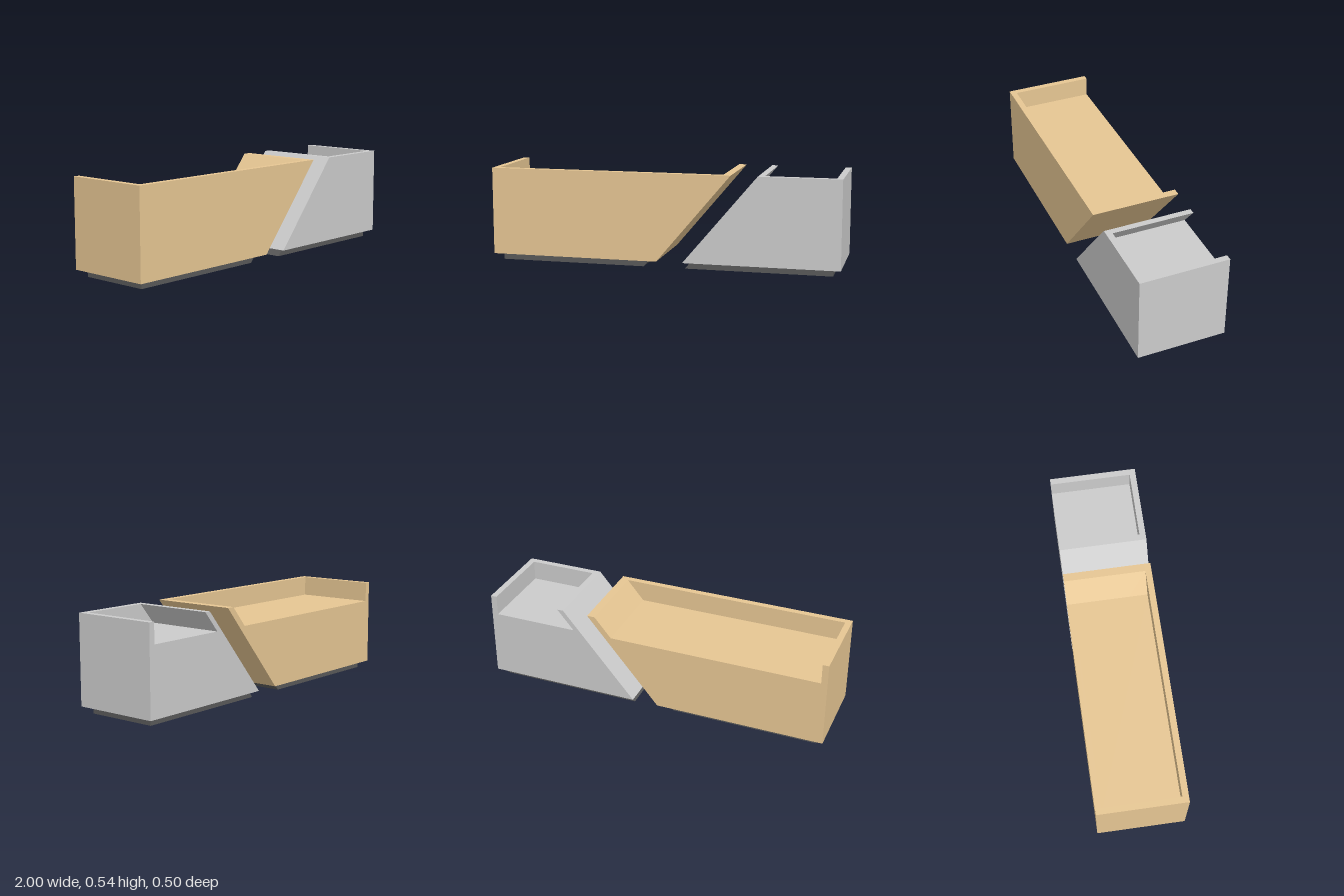
import * as THREE from 'three';

const Y0 = 0.04, TOP = 0.54, DECK = 0.425, T = 0.035, Z = 0.25, RUN = 0.84;

// An end line of the desk: upright, or leaning towards +x as it rises
const upright = (x) => () => x;
const leaning = (x, dx = 0) => (y) => x + dx + RUN * (y - Y0);

// Four-sided panel between two end lines, extruded along z
function panel(name, left, right, y0, y1, z0, z1, material) {
  const shape = new THREE.Shape([
    new THREE.Vector2(left(y0), y0), new THREE.Vector2(right(y0), y0),
    new THREE.Vector2(right(y1), y1), new THREE.Vector2(left(y1), y1),
  ]);
  const geometry = new THREE.ExtrudeGeometry(shape, { depth: z1 - z0, bevelEnabled: false });
  geometry.translate(0, 0, z0);
  const mesh = new THREE.Mesh(geometry, material);
  mesh.name = name;
  return mesh;
}

// Hollow frame of four panels, open above and below
function frame(name, l, lIn, rIn, r, y0, y1, z, t, material) {
  const group = new THREE.Group();
  group.name = name;
  group.add(
    panel(name + 'Front', l, r, y0, y1, z - t, z, material),
    panel(name + 'Back', l, r, y0, y1, -z, -z + t, material),
    panel(name + 'LowEnd', l, lIn, y0, y1, -z + t, z - t, material),
    panel(name + 'HighEnd', rIn, r, y0, y1, -z + t, z - t, material),
  );
  return group;
}

// Desk section: tall front and ends, low back, recessed worktop, inset plinth
function desk(name, l, lIn, rIn, r, plinth, material, dark) {
  const group = new THREE.Group();
  group.name = name;
  group.add(
    panel('frontPanel', l, r, Y0, TOP, Z - T, Z, material),
    panel('rightEndPanel', l, lIn, Y0, TOP, -Z, Z - T, material),
    panel('leftEndPanel', rIn, r, Y0, TOP, -Z, Z - T, material),
    panel('backPanel', lIn, rIn, Y0, DECK, -Z, -Z + T, material),
    panel('worktop', lIn, rIn, DECK - T, DECK, -Z + T, Z - T, material),
  );
  const [pl, plIn, prIn, pr] = plinth;
  group.add(frame('plinth', pl, plIn, prIn, pr, 0, Y0, 0.207, T, dark));
  // Thin lip joining the plinth to the panels
  const widen = (line, d) => (y) => line(y) + d;
  group.add(frame('plinthLip', widen(pl, -0.01), pl, pr, widen(pr, 0.01), 0.037, Y0, 0.215, 0.008, dark));
  return group;
}

export function createModel() {
  const wood = new THREE.MeshStandardMaterial({ color: 0xe6c693 });
  const grey = new THREE.MeshStandardMaterial({ color: 0xcccccc });
  const dark = new THREE.MeshStandardMaterial({ color: 0x595959 });
  const model = new THREE.Group();
  model.name = 'receptionDesk';

  // Long section with its slanted end overhanging
  model.add(desk('longDesk',
    upright(-1), upright(-0.965), leaning(-0.03, -0.045), leaning(-0.03),
    [upright(-0.955), upright(-0.92), leaning(-0.08, -0.045), leaning(-0.08)],
    wood, dark));

  // Short section with its slanted end leaning back
  model.add(desk('shortDesk',
    leaning(0.12), leaning(0.12, 0.036), upright(0.965), upright(1),
    [leaning(0.16), leaning(0.16, 0.045), upright(0.92), upright(0.955)],
    grey, dark));

  return model;
}
